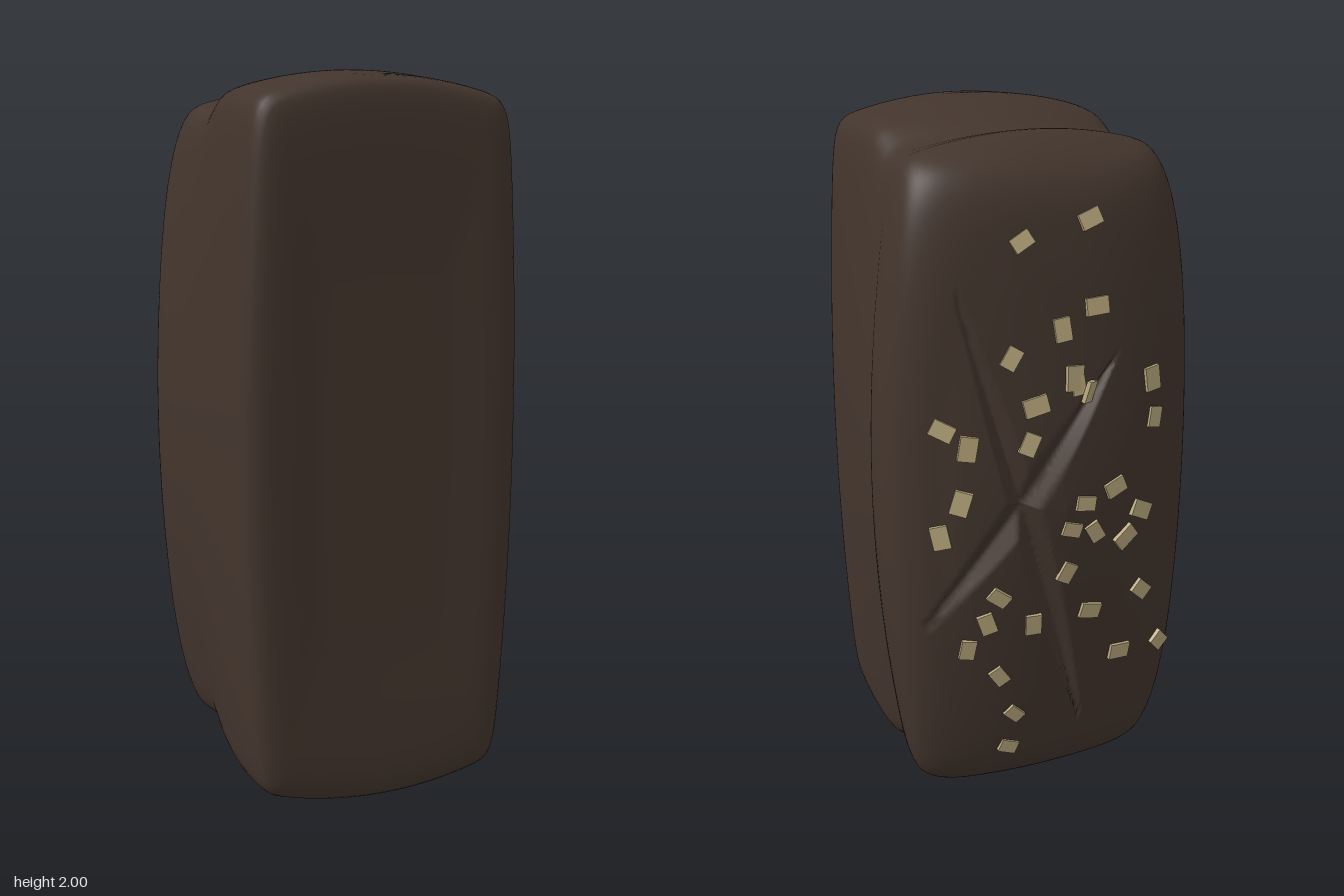
import * as THREE from 'three';

const crust = new THREE.MeshStandardMaterial({ color: 0x43352d });
crust.name = 'dark crust';
const oat = new THREE.MeshStandardMaterial({ color: 0xbaa97e });
oat.name = 'oat flake';

// Loaf profile from the flat base to the top of the crown: half width, half length, depth
const PROFILE = [
  [0, 0, 0.455], [0.17, 0.46, 0.455], [0.36, 0.945, 0.455], [0.385, 0.972, 0.435],
  [0.402, 0.99, 0.32], [0.41, 1.0, 0.2], [0.417, 0.992, 0.08], [0.421, 0.97, 0],
  [0.427, 0.946, -0.08], [0.44, 0.952, -0.13], [0.449, 0.96, -0.19], [0.444, 0.932, -0.25],
  [0.426, 0.885, -0.305], [0.388, 0.82, -0.345], [0.327, 0.68, -0.377], [0.272, 0.49, -0.402],
  [0.15, 0.23, -0.432], [0, 0, -0.445],
];

// Crossing slashes in the crown: start x, y and end x, y, half width, depth
const SLASHES = [
  [0.28, 1.62, -0.1, 0.25, 0.04, 0.04],
  [-0.17, 1.42, 0.39, 0.64, 0.044, 0.04],
];

// Flake positions on the crown: x, y pairs
const FLAKES = [
  0.1, 1.72, -0.09, 1.76, -0.1, 1.54, 0.0, 1.49, 0.14, 1.43, -0.04, 1.34, 0.08, 1.3,
  0.1, 1.2, 0.32, 1.25, 0.26, 1.2, -0.27, 1.32, -0.28, 1.21, 0.28, 1.05, 0.33, 0.95,
  -0.15, 1.04, -0.02, 0.94, -0.09, 0.92, -0.19, 0.88, 0.18, 0.76, -0.01, 0.81,
  0.21, 0.68, 0.26, 0.6, 0.08, 0.66, -0.09, 0.67, -0.26, 0.69, 0.17, 0.5,
  -0.2, 0.5, -0.35, 0.48, 0.12, 0.36, 0.13, 0.24, -0.07, 1.32, -0.03, 1.36,
  -0.24, 0.95, -0.06, 1.01,
];

// Depth of the slashes at a point of the crown
function slashDepth(x, y) {
  let depth = 0;
  for (const [x0, y0, x1, y1, half, deep] of SLASHES) {
    const dx = x1 - x0, dy = y1 - y0;
    const t = ((x - x0) * dx + (y - y0) * dy) / (dx * dx + dy * dy);
    if (t <= 0 || t >= 1) continue;
    const swell = Math.sin(Math.PI * t);
    const d = Math.hypot(x - x0 - t * dx, y - y0 - t * dy);
    depth = Math.max(depth, deep * Math.sqrt(swell) * (1 - d / (half * swell)));
  }
  return depth;
}

// Rings of bulging rounded rectangles that soften to ovals on the crown
function loafGeometry() {
  const rows = 170, sides = 320;
  const rings = new THREE.CatmullRomCurve3(PROFILE.map((p) => new THREE.Vector3(...p))).getSpacedPoints(rows);
  const pos = [], index = [];
  rings.forEach((r, j) => {
    const dome = THREE.MathUtils.smoothstep(-r.z, 0.18, 0.42);
    const n = 2.2 * Math.pow(10, 1 - dome);
    const sideBulge = THREE.MathUtils.lerp(0.1, 0.2, THREE.MathUtils.smoothstep(-r.z, -0.455, 0.2)) * (1 - 0.6 * dome);
    const endBulge = 0.06 * (1 - dome);
    for (let i = 0; i < sides; i++) {
      const a = (i / sides) * Math.PI * 2, c = Math.cos(a), s = Math.sin(a);
      const k = Math.pow(Math.abs(c) ** n + Math.abs(s) ** n, -1 / n);
      const u = c * k, v = s * k;
      const x = r.x * u * (1 - sideBulge * v * v);
      const y = 1 + r.y * v * (1 - endBulge * u * u);
      // the seam under the crown arches across both ends
      let z = r.z + 0.05 * u * u * v ** 8 * Math.exp(-(((r.z + 0.06) / 0.1) ** 2));
      if (r.z < -0.2) z += slashDepth(x, y);
      pos.push(x, y, z);
      if (j < rows) {
        const A = j * sides + i, B = j * sides + ((i + 1) % sides);
        index.push(A, A + sides, B, B, A + sides, B + sides);
      }
    }
  });
  const g = new THREE.BufferGeometry();
  g.setAttribute('position', new THREE.Float32BufferAttribute(pos, 3));
  g.setIndex(index);
  g.computeVertexNormals();
  return g;
}

export function createModel() {
  const model = new THREE.Group();
  model.name = 'loaf of bread';

  const loaf = new THREE.Mesh(loafGeometry(), crust);
  loaf.name = 'loaf';
  model.add(loaf);

  // Oat flakes laid on the crown
  const flakes = new THREE.Group();
  flakes.name = 'oat flakes';
  model.add(flakes);
  let seed = 7;
  const rand = () => (seed = (seed * 16807) % 2147483647) / 2147483647;
  const flakeGeometry = new THREE.BoxGeometry(0.06, 0.043, 0.012);
  const ray = new THREE.Raycaster();
  const inward = new THREE.Vector3(0, 0, 1);
  for (let i = 0; i < FLAKES.length; i += 2) {
    ray.set(new THREE.Vector3(FLAKES[i], FLAKES[i + 1], -2), inward);
    const hit = ray.intersectObject(loaf)[0];
    if (!hit) continue;
    const flake = new THREE.Mesh(flakeGeometry, oat);
    flake.name = 'oatFlake';
    flake.position.copy(hit.point).addScaledVector(hit.face.normal, 0.003);
    flake.quaternion.setFromUnitVectors(inward, hit.face.normal);
    flake.rotateZ(rand() * Math.PI);
    flake.rotateX((rand() - 0.5) * 0.25);
    flake.scale.setScalar(0.85 + rand() * 0.3);
    flakes.add(flake);
  }
  return model;
}
